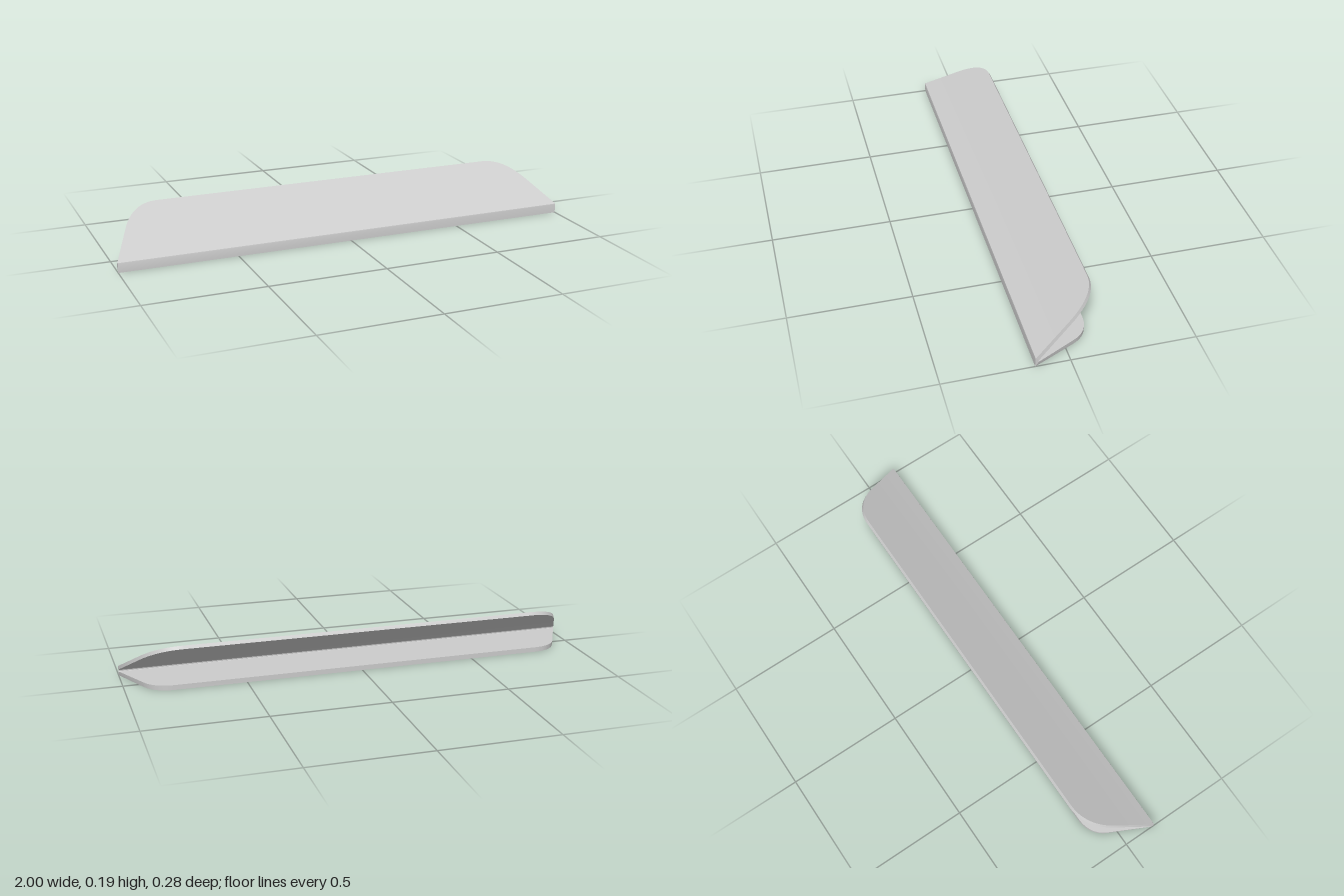
import * as THREE from 'three';
import { toCreasedNormals } from 'three/addons/utils/BufferGeometryUtils.js';

const V2 = (x, y) => new THREE.Vector2(x, y);

// Half-width of a flap against depth t (0 at the fold, 1 at the rim): slanted side, rounded corner
function flapOutline(start, corner, end) {
  const first = V2(1 + (corner - 1) * start, start);
  const curve = new THREE.QuadraticBezierCurve(first, V2(corner, 1), V2(end, 1));
  return [V2(1, 0), ...curve.getPoints(16)];
}

// Stations along one flap; each pairs an outer and an inner (z, y) point with a half-width
function flap(outline, outerFold, outerRim, innerFold, innerRim) {
  return outline.map((p) => ({
    outer: outerFold.clone().lerp(outerRim, p.y),
    inner: innerFold.clone().lerp(innerRim, p.y),
    w: p.x,
  }));
}

// Skin a folded sheet through all stations, with side walls and rims
function sheetGeometry(stations) {
  const pos = [];
  const quad = (a, b, c, d) => [a, b, c, a, c, d].forEach((v) => pos.push(...v));
  const rows = stations.map(({ outer: o, inner: i, w }) => ({
    oL: [-w, o.y, o.x], oR: [w, o.y, o.x],
    iL: [-w, i.y, i.x], iR: [w, i.y, i.x],
  }));
  for (let k = 0; k < rows.length - 1; k++) {
    const a = rows[k], b = rows[k + 1];
    quad(a.oL, a.oR, b.oR, b.oL);
    quad(a.iR, a.iL, b.iL, b.iR);
    quad(a.oL, b.oL, b.iL, a.iL);
    quad(a.oR, a.iR, b.iR, b.oR);
  }
  const s = rows[0], e = rows[rows.length - 1];
  quad(s.oL, s.iL, s.iR, s.oR);
  quad(e.oL, e.oR, e.iR, e.iL);
  const geometry = new THREE.BufferGeometry();
  geometry.setAttribute('position', new THREE.Float32BufferAttribute(pos, 3));
  return toCreasedNormals(geometry, 0.45);
}

export function createModel() {
  const group = new THREE.Group();
  group.name = 'foldedBracket';

  // Flat base flap, from its back rim to the front fold
  const base = flap(flapOutline(0.7, 0.885, 0.8),
    V2(0.138, 0.002), V2(-0.106, 0.002), V2(0.124, 0.021), V2(-0.106, 0.021)).reverse();
  base.forEach((s) => { s.outer.y = 0; });

  // Short front wall with softened fold edges
  const wall = [
    { outer: V2(0.138, 0.002), inner: V2(0.125, 0.022), w: 1 },
    { outer: V2(0.138, 0.037), inner: V2(0.125, 0.027), w: 1 },
    { outer: V2(0.137, 0.041), inner: V2(0.124, 0.029), w: 1 },
  ];

  // Sloping upper flap, rising to the back
  const upper = flap(flapOutline(0.55, 0.872, 0.765),
    V2(0.133, 0.043), V2(-0.13, 0.195), V2(0.122, 0.031), V2(-0.138, 0.182));

  const sheet = new THREE.Mesh(
    sheetGeometry([...base, ...wall, ...upper]),
    new THREE.MeshStandardMaterial({ color: 0xcccccc }),
  );
  sheet.name = 'foldedSheet';
  group.add(sheet);
  return group;
}
